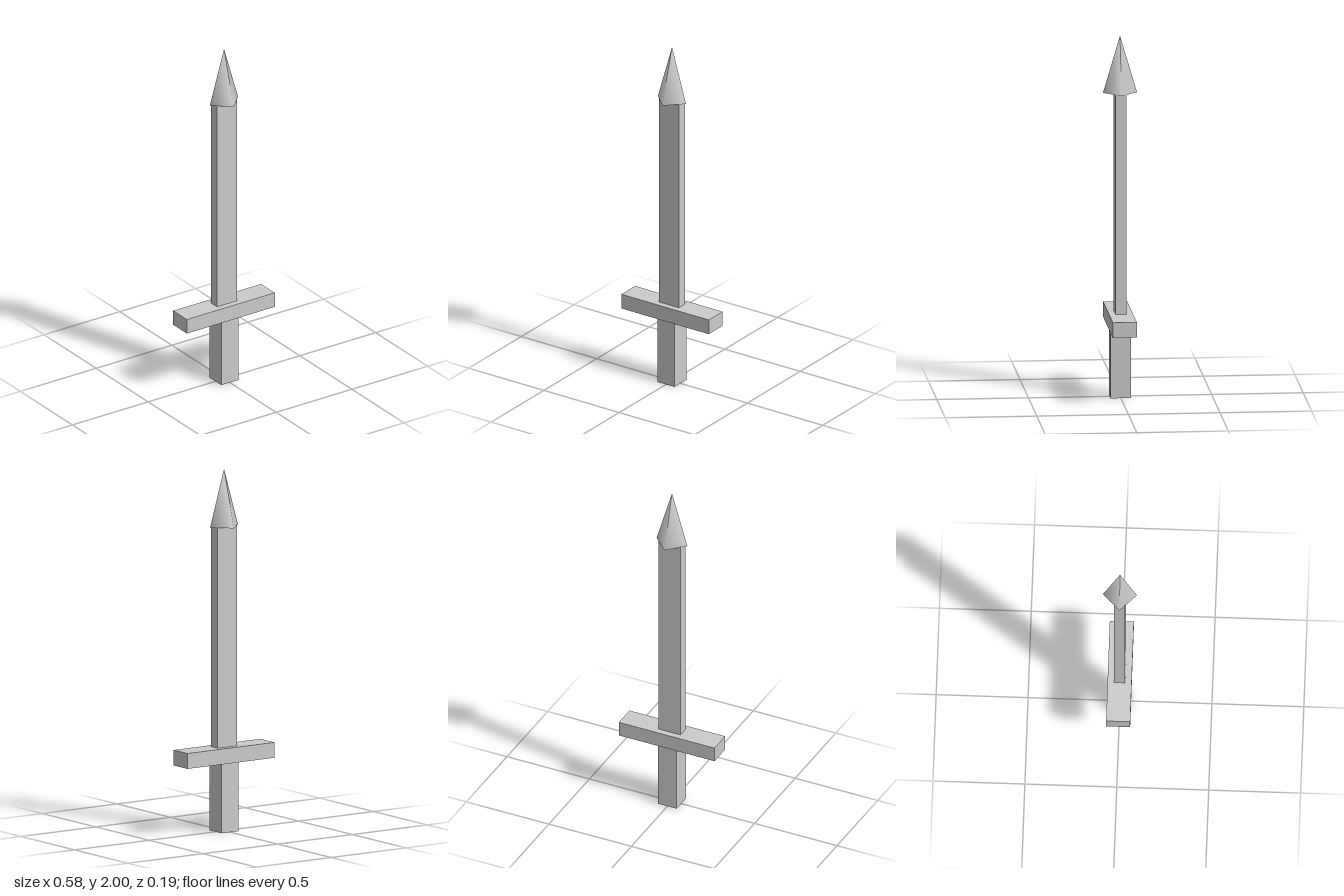
import * as THREE from 'three';

export function createModel() {
  const group = new THREE.Group();
  const material = new THREE.MeshStandardMaterial({ color: 0xcccccc });

  // Adds a part centred on the vertical axis, with its underside at height y0
  const add = (name, geometry, height, y0) => {
    const mesh = new THREE.Mesh(geometry, material);
    mesh.name = name;
    mesh.position.y = y0 + height / 2;
    group.add(mesh);
  };
  const addBox = (name, width, depth, y0, y1) =>
    add(name, new THREE.BoxGeometry(width, y1 - y0, depth), y1 - y0, y0);

  addBox('grip', 0.112, 0.112, 0, 0.382);
  addBox('crossguard', 0.58, 0.131, 0.382, 0.467);
  addBox('blade', 0.132, 0.06, 0.467, 1.688);

  // Four-sided point, corners on the x and z axes, with smooth shading
  add('bladeTip', new THREE.ConeGeometry(0.093, 0.316, 4), 0.316, 1.684);

  return group;
}
